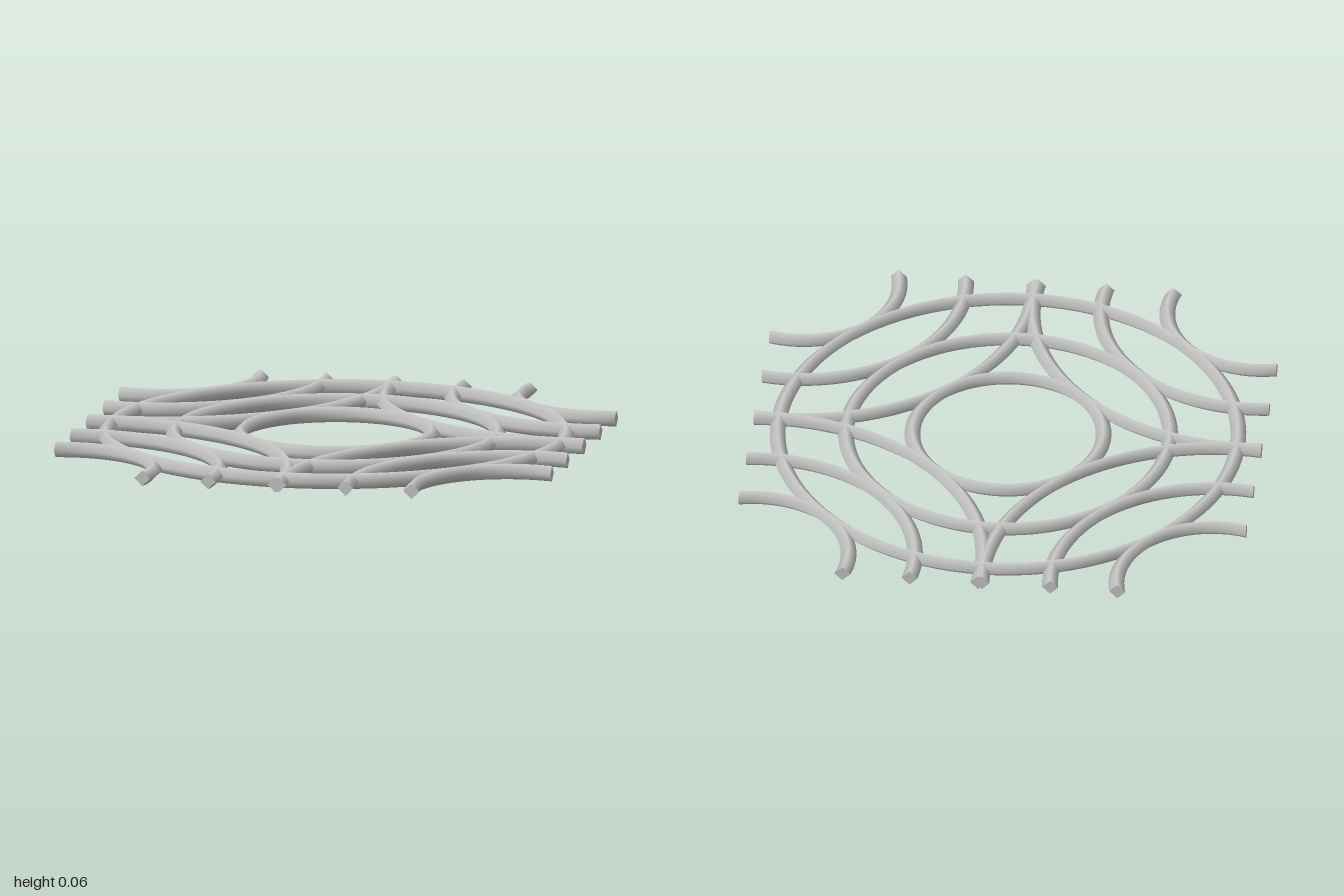
import * as THREE from 'three';

const BAR = 0.031;                    // half-diagonal of the square bar, set on edge
const RADII = [0.375, 0.635, 0.903];  // the three concentric rings
const CORNER = 0.905;                 // centre of the corner arcs
const SIDES = 4;

// Sweeps the bar around (c, c); with trim, its ends are cut flush at z = 1 and x = 1.
function barGeometry(c, radius, trim, steps) {
  const pos = [], nor = [], idx = [];
  for (let i = 0; i <= steps; i++) {
    for (let j = 0; j < SIDES; j++) {
      const phi = (j / SIDES) * Math.PI * 2;
      const rho = radius + BAR * Math.cos(phi);
      const over = trim ? Math.asin((1 - c) / rho) : 0;
      const span = trim ? Math.PI / 2 + 2 * over : Math.PI * 2;
      const t = -over + span * (i / steps);
      pos.push(c - rho * Math.cos(t), BAR * (1 + Math.sin(phi)), c - rho * Math.sin(t));
      nor.push(-Math.cos(phi) * Math.cos(t), Math.sin(phi), -Math.cos(phi) * Math.sin(t));
      if (i < steps) {
        const k = (j + 1) % SIDES, a = i * SIDES;
        idx.push(a + j, a + k, a + SIDES + j, a + k, a + SIDES + k, a + SIDES + j);
      }
    }
  }
  // flat end caps
  if (trim) {
    for (const [first, n, order] of [
      [0, [0, 0, 1], [0, 2, 1, 0, 3, 2]],
      [steps * SIDES, [1, 0, 0], [0, 1, 2, 0, 2, 3]],
    ]) {
      const base = pos.length / 3;
      for (let j = 0; j < SIDES; j++) {
        const p = (first + j) * 3;
        pos.push(pos[p], pos[p + 1], pos[p + 2]);
        nor.push(...n);
      }
      idx.push(...order.map((o) => base + o));
    }
  }
  const geo = new THREE.BufferGeometry();
  geo.setAttribute('position', new THREE.Float32BufferAttribute(pos, 3));
  geo.setAttribute('normal', new THREE.Float32BufferAttribute(nor, 3));
  geo.setIndex(idx);
  return geo;
}

export function createModel() {
  const model = new THREE.Group();
  model.name = 'ringGrille';
  const material = new THREE.MeshStandardMaterial({ color: 0xcccccc });
  const sizes = ['inner', 'middle', 'outer'];

  // concentric rings in the middle
  RADII.forEach((r, i) => {
    const ring = new THREE.Mesh(barGeometry(0, r, false, 96), material);
    ring.name = sizes[i] + 'Ring';
    model.add(ring);
  });

  // the same rings repeated around each corner, cut by the square outline
  const arcs = RADII.map((r) => barGeometry(CORNER, r, true, 36));
  ['frontLeft', 'backLeft', 'backRight', 'frontRight'].forEach((place, q) => {
    const corner = new THREE.Group();
    corner.name = place + 'Corner';
    corner.rotation.y = (q * Math.PI) / 2;
    arcs.forEach((geo, i) => {
      const arc = new THREE.Mesh(geo, material);
      arc.name = sizes[i] + 'Arc';
      corner.add(arc);
    });
    model.add(corner);
  });
  return model;
}
